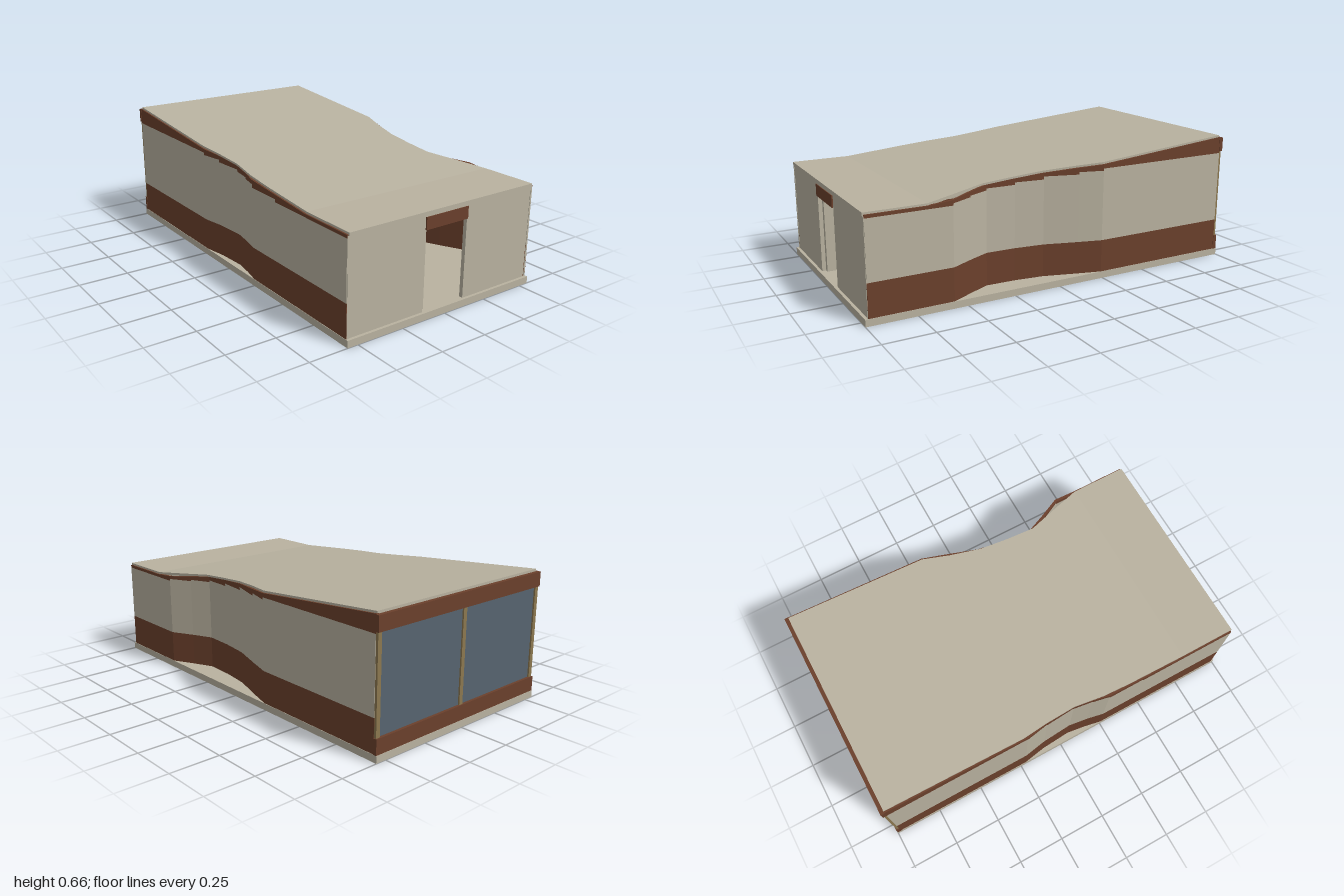
import * as THREE from 'three';

const mat = (name, color) => {
  const m = new THREE.MeshStandardMaterial({ color });
  m.name = name;
  return m;
};

// Roof height: flat at the front, rising to the back
const roofY = (z) => 0.515 + Math.max(0, 0.69 - z) * 0.087;

// Solid through rectangular sections [x0, x1, y0, y1, z], ordered front to back
function loft(sections) {
  const pos = [];
  const rings = sections.map(([x0, x1, y0, y1, z]) =>
    [[x0, y0, z], [x1, y0, z], [x1, y1, z], [x0, y1, z]]);
  const quad = (a, b, c, d) => pos.push(...a, ...b, ...c, ...a, ...c, ...d);
  quad(...rings[0]);
  quad(...rings[rings.length - 1].slice().reverse());
  for (let k = 0; k < rings.length - 1; k++) {
    const a = rings[k], b = rings[k + 1];
    for (let i = 0; i < 4; i++) {
      const j = (i + 1) % 4;
      quad(a[i], b[i], b[j], a[j]);
    }
  }
  const g = new THREE.BufferGeometry();
  g.setAttribute('position', new THREE.Float32BufferAttribute(pos, 3));
  g.computeVertexNormals();
  return g;
}

export function createModel() {
  const model = new THREE.Group();
  model.name = 'pavilion';
  const plaster = mat('beige plaster', 0xb9b2a0);
  const brown = mat('brown cladding', 0x6b402c);
  const glass = mat('blue grey glass', 0x56646f);
  const timber = mat('tan timber', 0x8c7850);

  const add = (name, geo, material, parent = model) => {
    const m = new THREE.Mesh(geo, material);
    m.name = name;
    parent.add(m);
    return m;
  };
  // Box given by its limits
  const box = (name, x0, x1, y0, y1, z0, z1, material) => {
    const m = add(name, new THREE.BoxGeometry(x1 - x0, y1 - y0, z1 - z0), material);
    m.position.set((x0 + x1) / 2, (y0 + y1) / 2, (z0 + z1) / 2);
    return m;
  };

  box('baseSlab', -0.555, 0.555, 0, 0.035, -1, 1, plaster);

  // Side walls: [z, outer x, top of the plaster band behind this point]
  const rightWall = [
    [0.985, 0.553, 0.49], [0.69, 0.553, 0.49], [0.57, 0.553, 0.5], [0.455, 0.495, 0.507],
    [0.35, 0.447, 0.516], [0.2, 0.452, 0.528], [0.05, 0.47, 0.543], [-0.12, 0.52, 0.555],
    [-0.24, 0.553, 0.566], [-0.98, 0.553, 0.566],
  ];
  const leftWall = [
    [0.985, 0.553, 0.49], [0.69, 0.553, 0.49], [0.45, 0.553, 0.505], [0.25, 0.553, 0.522],
    [0.16, 0.535, 0.53], [0.06, 0.521, 0.54], [-0.1, 0.532, 0.553],
    [-0.22, 0.553, 0.566], [-0.98, 0.553, 0.566],
  ];
  const buildWall = (name, pts, side) => {
    const wall = new THREE.Group();
    wall.name = name;
    model.add(wall);
    const section = (z, x, y0, y1) => {
      const xs = [side * x, side * (x - 0.014)].sort((p, q) => p - q);
      return [...xs, y0, y1, z];
    };
    add('lowerCladding', loft(pts.map(([z, x]) => section(z, x, 0.035, 0.2))), brown, wall);
    for (let i = 0; i < pts.length - 1; i++) {
      const [za, xa, h] = pts[i], [zb, xb] = pts[i + 1];
      add('plasterPanel', loft([section(za, xa, 0.2, h), section(zb, xb, 0.2, h)]), plaster, wall);
      add('upperCladding', loft([
        section(za, xa, h, Math.max(h, roofY(za) - 0.01)),
        section(zb, xb, h, roofY(zb) - 0.01)]), brown, wall);
    }
  };
  buildWall('leftSideWall', rightWall, 1);
  buildWall('rightSideWall', leftWall, -1);

  // Roof sheet with a pinched waist: [z, min x, max x]
  const roof = [
    [0.99, -0.545, 0.545], [0.69, -0.545, 0.545], [0.55, -0.545, 0.503], [0.37, -0.545, 0.446],
    [0.22, -0.54, 0.45], [0.06, -0.521, 0.462], [-0.1, -0.53, 0.5],
    [-0.24, -0.545, 0.543], [-0.978, -0.545, 0.545],
  ];
  add('roof', loft(roof.map(([z, a, b]) => [a, b, roofY(z) - 0.014, roofY(z), z])), plaster);
  box('roofFascia', -0.545, 0.545, 0.49, 0.502, 0.965, 0.988, plaster);

  // Front wall with a doorway
  for (const s of [-1, 1]) {
    box('frontWall', Math.min(s * 0.125, s * 0.542), Math.max(s * 0.125, s * 0.542),
      0.035, 0.49, 0.965, 0.985, plaster);
    box('frontCorner', Math.min(s * 0.541, s * 0.55), Math.max(s * 0.541, s * 0.55),
      0.035, 0.5, 0.965, 0.987, plaster);
  }
  box('doorLintel', -0.125, 0.125, 0.43, 0.49, 0.965, 0.992, brown);
  box('doorLeaf', -0.125, -0.102, 0.036, 0.43, 0.73, 0.965, plaster);
  box('doorEdge', -0.102, -0.092, 0.036, 0.425, 0.73, 0.745, brown);

  // Small slanted braces inside
  for (const s of [-1, 1]) {
    const brace = box('innerBrace', s * 0.075 - 0.036, s * 0.075 + 0.036, 0.41, 0.42, -0.95, -0.94, plaster);
    brace.rotation.z = s * 0.46;
  }

  // Glazed back wall
  box('backSill', -0.555, 0.555, 0.035, 0.11, -0.998, -0.978, brown);
  box('backHeader', -0.555, 0.555, 0.575, 0.648, -0.998, -0.978, brown);
  box('backGlass', -0.545, 0.545, 0.11, 0.575, -0.984, -0.979, glass);
  for (const x of [-0.54, 0, 0.54]) {
    box('mullion', x - 0.011, x + 0.011, 0.11, 0.575, -0.992, -0.974, timber);
  }
  return model;
}
